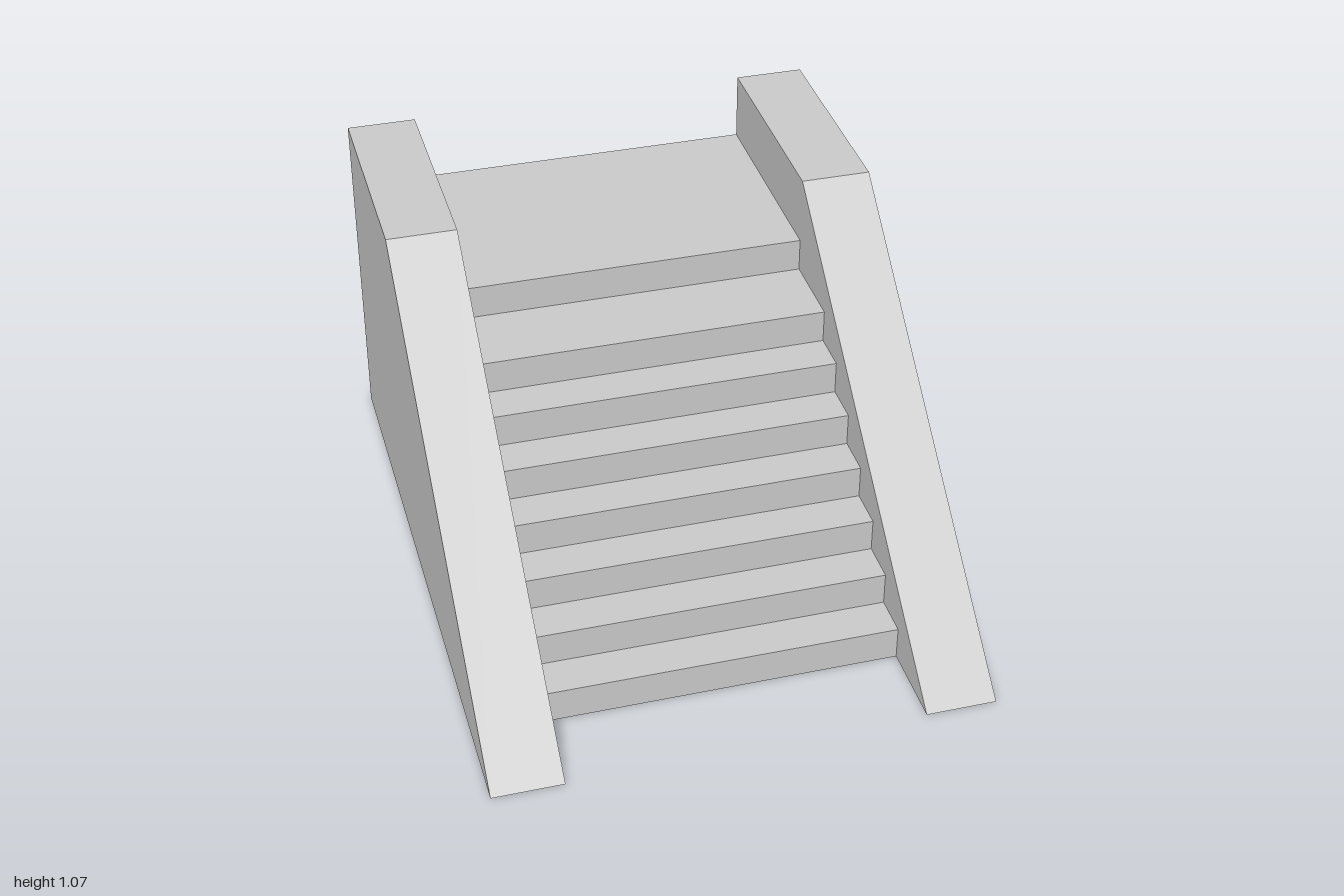
import * as THREE from 'three';

const OUTER = 0.76, INNER = 0.543, TOP = 1.065, DECK = 0.85;
const BACK = -1, TOE = 1, CREST = -0.3;

const material = new THREE.MeshStandardMaterial({
  color: 0xcccccc, flatShading: true, side: THREE.DoubleSide,
});

function addMesh(parent, name, geometry) {
  const mesh = new THREE.Mesh(geometry, material);
  mesh.name = name;
  parent.add(mesh);
}

// Folded sheet: a [z, y] profile swept from x0 to x1 (x0 < x1).
function sheet(profile, x0, x1) {
  const positions = [];
  for (let i = 0; i < profile.length - 1; i++) {
    const [za, ya] = profile[i], [zb, yb] = profile[i + 1];
    positions.push(x0, ya, za, x1, ya, za, x1, yb, zb);
    positions.push(x0, ya, za, x1, yb, zb, x0, yb, zb);
  }
  const geometry = new THREE.BufferGeometry();
  geometry.setAttribute('position', new THREE.Float32BufferAttribute(positions, 3));
  geometry.computeVertexNormals();
  return geometry;
}

// Flat upright panel outlined in [z, y] at a given x, facing dir (+1 or -1) along x.
function panel(outline, x, dir) {
  const shape = new THREE.Shape(outline.map(([z, y]) => new THREE.Vector2(-dir * z, y)));
  return new THREE.ShapeGeometry(shape).rotateY(dir * Math.PI / 2).translate(x, 0, 0);
}

export function createModel() {
  const model = new THREE.Group();
  model.name = 'staircase';

  // Stair profile from the bottom riser up to the landing
  const risers = [0.735, 0.605, 0.475, 0.345, 0.215, 0.085, -0.045, CREST];
  const rise = DECK / risers.length;
  const stairs = [];
  risers.forEach((z, i) => stairs.push([z, i * rise], [z, (i + 1) * rise]));
  stairs.push([BACK, DECK]);
  addMesh(model, 'stepsAndLanding', sheet(stairs, -INNER, INNER));

  // Base, with toes reaching forward under each side wall
  addMesh(model, 'base', sheet([[BACK, 0], [risers[0], 0]], -OUTER, OUTER));

  // Hollow side walls, open at the back
  const coping = [[TOE, 0], [CREST, TOP], [BACK, TOP]];
  const rampZAtDeck = TOE + (CREST - TOE) * DECK / TOP;
  for (const side of [1, -1]) {
    const wall = new THREE.Group();
    wall.name = side > 0 ? 'leftWall' : 'rightWall';
    const x0 = Math.min(side * INNER, side * OUTER);
    const x1 = Math.max(side * INNER, side * OUTER);
    addMesh(wall, 'coping', sheet(coping, x0, x1));
    addMesh(wall, 'toeBase', sheet([[risers[0], 0], [TOE, 0]], x0, x1));
    addMesh(wall, 'outerPanel', panel([...coping, [BACK, 0]], side * OUTER, side));
    addMesh(wall, 'innerPanel', panel([...coping, ...stairs.slice().reverse()], side * INNER, -side));
    // Small shelf inside the wall, level with the landing
    addMesh(wall, 'innerShelf', sheet([[rampZAtDeck, DECK], [CREST, DECK]], x0, x1));
    model.add(wall);
  }
  return model;
}
